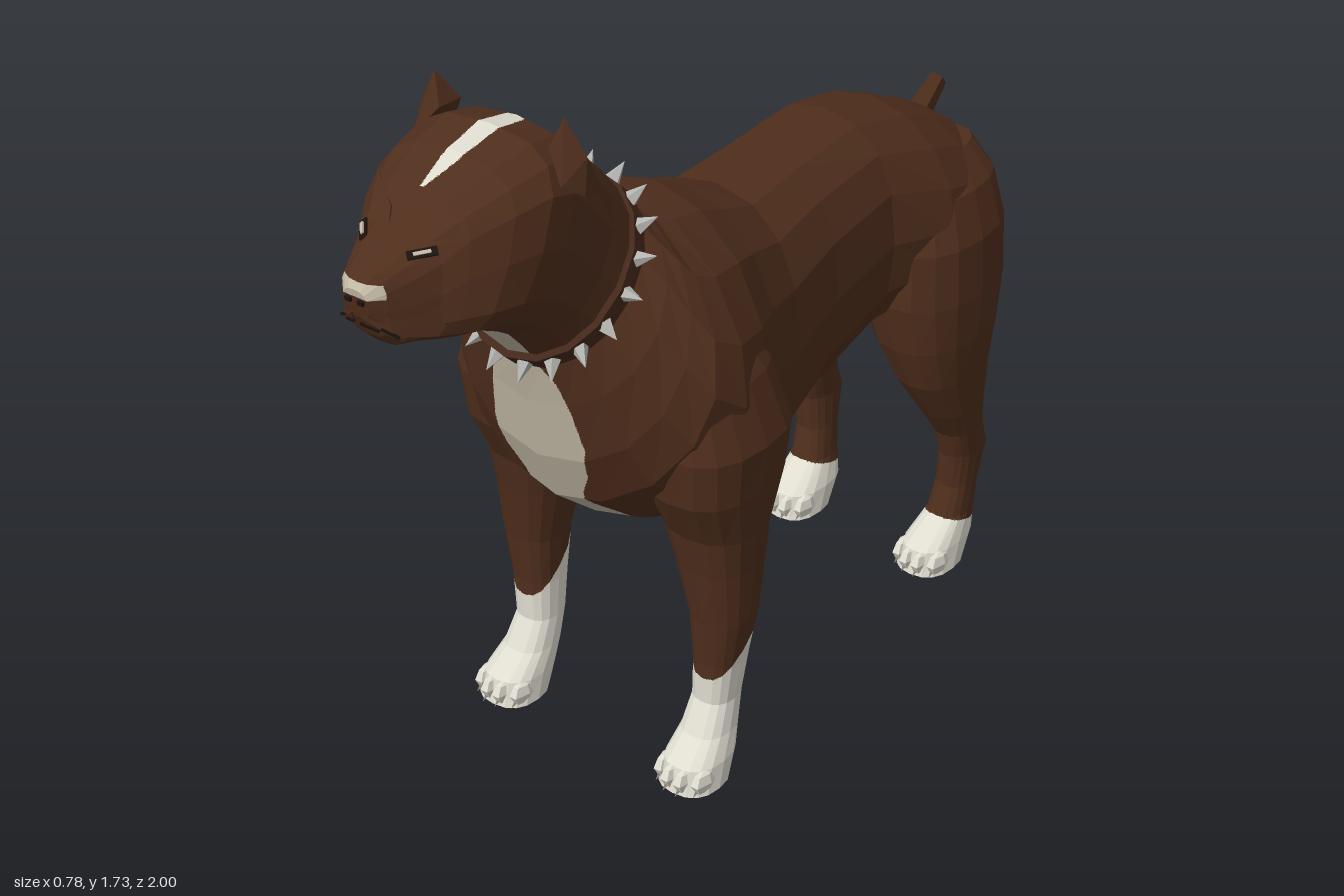
import * as THREE from 'three';
import { ConvexGeometry } from 'three/addons/geometries/ConvexGeometry.js';

const mat = (name, color) => Object.assign(new THREE.MeshStandardMaterial({ color }), { name });
const V = (x, y, z) => new THREE.Vector3(x, y, z);
const SIDES = 16;

// Point on a rounded ring that spans front/top point to back/bottom point, with half width w
function ringPoint(r, a) {
  const [tz, ty, bz, by, w, e = 0.85, cx = 0] = r;
  const pow = (v) => (Math.abs(v) < 1e-6 ? 0 : Math.sign(v) * Math.abs(v) ** e);
  const c = pow(Math.cos(a)) / 2;
  return V(cx + w * pow(Math.sin(a)), (ty + by) / 2 + (ty - by) * c, (tz + bz) / 2 + (tz - bz) * c);
}

// Faceted loft through rings; paint(p) gives a material index, facets are split along colour borders
function loft(name, rings, materials, paint = () => 0) {
  const buckets = materials.map(() => []);
  const mid = (a, b) => a.clone().lerp(b, 0.5);
  const emit = (a, b, c, depth = 0) => {
    const ab = mid(a, b), bc = mid(b, c), ca = mid(c, a);
    const ids = [a, b, c, ab, bc, ca].map(paint);
    const border = ids.some((i) => i !== ids[0]);
    if (materials.length > 1 && depth < 5 && (border || depth < 1)) {
      emit(a, ab, ca, depth + 1); emit(ab, b, bc, depth + 1);
      emit(ca, bc, c, depth + 1); emit(ab, bc, ca, depth + 1);
    } else {
      const m = paint(a.clone().add(b).add(c).divideScalar(3));
      for (const p of [a, b, c]) buckets[m].push(p.x, p.y, p.z);
    }
  };
  const pts = rings.map((r) => Array.from({ length: SIDES }, (_, j) => ringPoint(r, (j / SIDES) * Math.PI * 2)));
  const centre = (ring) => ring.reduce((s, p) => s.add(p), V(0, 0, 0)).divideScalar(SIDES);
  const first = pts[0], last = pts[pts.length - 1], c0 = centre(first), c1 = centre(last);
  for (let j = 0; j < SIDES; j++) {
    const k = (j + 1) % SIDES;
    emit(c0, first[j], first[k]);
    emit(c1, last[k], last[j]);
    for (let i = 0; i + 1 < pts.length; i++) {
      emit(pts[i][j], pts[i + 1][j], pts[i][k]);
      emit(pts[i][k], pts[i + 1][j], pts[i + 1][k]);
    }
  }
  const g = new THREE.BufferGeometry();
  let start = 0;
  buckets.forEach((b, i) => { g.addGroup(start, b.length / 3, i); start += b.length / 3; });
  g.setAttribute('position', new THREE.Float32BufferAttribute(buckets.flat(), 3));
  g.computeVertexNormals();
  const mesh = new THREE.Mesh(g, materials.length > 1 ? materials : materials[0]);
  mesh.name = name;
  return mesh;
}

// Linear lookup in [key, value] pairs
function lookup(table, k) {
  for (let i = 0; i + 1 < table.length; i++) {
    const [a, va] = table[i], [b, vb] = table[i + 1];
    if (k >= a && k <= b) return va + ((vb - va) * (k - a)) / (b - a);
  }
  return 0;
}

export function createModel() {
  const model = new THREE.Group();
  const coat = mat('brown coat', 0x4f2e1c), white = mat('white fur', 0xdedbcf), cream = mat('cream chest', 0xc2b9a5);
  const leather = mat('dark leather', 0x43271a), metal = mat('spike metal', 0xb4b4b0);
  const dark = mat('dark line', 0x1d120d), claw = mat('claw grey', 0x8b8578);

  const add = (name, geo, material) => {
    const g = geo.index ? geo.toNonIndexed() : geo;
    g.computeVertexNormals();
    const m = new THREE.Mesh(g, material);
    m.name = name;
    model.add(m);
    return m;
  };
  const hull = (name, pts, material) => add(name, new ConvexGeometry(pts.map((p) => V(...p))), material);

  // Torso, rump to neck: [topZ, topY, bottomZ, bottomY, half width, roundness]
  const torso = [
    [-0.93, 1.08, -0.925, 0.85, 0.15], [-0.9, 1.12, -0.89, 0.76, 0.22, 0.9], [-0.82, 1.165, -0.8, 0.72, 0.262, 1],
    [-0.7, 1.22, -0.65, 0.71, 0.262, 1], [-0.52, 1.26, -0.52, 0.69, 0.205], [-0.3, 1.25, -0.3, 0.63, 0.21],
    [-0.12, 1.24, -0.12, 0.555, 0.235], [0, 1.29, 0.02, 0.527, 0.272, 0.9], [0.09, 1.335, 0.14, 0.535, 0.325, 1],
    [0.18, 1.355, 0.3, 0.61, 0.362, 1.1], [0.22, 1.36, 0.43, 0.72, 0.345, 1.1], [0.235, 1.37, 0.485, 0.85, 0.295, 1],
    [0.25, 1.38, 0.515, 1.0, 0.242, 0.95], [0.265, 1.41, 0.545, 1.12, 0.178, 0.95],
  ];
  // Neck and head, collar to nose
  const head = [
    [0.265, 1.41, 0.545, 1.12, 0.172, 0.95], [0.34, 1.5, 0.6, 1.18, 0.168, 0.9], [0.43, 1.585, 0.65, 1.235, 0.178, 0.8],
    [0.52, 1.66, 0.71, 1.28, 0.198, 0.7], [0.6, 1.675, 0.77, 1.315, 0.202, 0.65], [0.7, 1.655, 0.83, 1.33, 0.183, 0.62],
    [0.8, 1.62, 0.87, 1.335, 0.143, 0.62], [0.855, 1.57, 0.9, 1.34, 0.112, 0.65], [0.92, 1.54, 0.94, 1.345, 0.083, 0.65],
    [0.975, 1.515, 0.965, 1.37, 0.058, 0.7], [1.0, 1.485, 0.99, 1.42, 0.032, 0.8],
  ];
  const chestWidth = [[0.5, 0.06], [0.54, 0.07], [0.6, 0.1], [0.65, 0.09], [0.7, 0.068], [0.76, 0.08],
    [0.82, 0.11], [0.9, 0.122], [1.0, 0.105], [1.07, 0.085], [1.11, 0.05]];
  const throatWidth = [[1.12, 0.045], [1.18, 0.058], [1.25, 0.072], [1.3, 0.052], [1.35, 0.04]];
  const blazeWidth = [[0.33, 0.01], [0.45, 0.02], [0.6, 0.026], [0.72, 0.02], [0.8, 0.004]];
  model.add(loft('torso', torso, [coat, cream], (p) =>
    (p.z > -0.03 && p.y < 1.11 && Math.abs(p.x) < lookup(chestWidth, p.y) ? 1 : 0)));
  const headMesh = loft('head and neck', head, [coat, cream, white], (p) => {
    const x = Math.abs(p.x);
    if (p.y < 1.35 && p.z < 0.8 && x < lookup(throatWidth, p.y)) return 1;
    if (p.y > 1.44 && x < lookup(blazeWidth, p.z)) return 2;
    return p.z > 0.97 && p.y > 1.468 && p.y < 1.497 ? 1 : 0;
  });
  model.add(headMesh);

  // Legs: [y, inner x, outer x, front z, back z]
  const frontLeg = [
    [1.12, 0.14, 0.285, 0.3, 0.12], [1.02, 0.12, 0.345, 0.36, 0.06],
    [0.88, 0.12, 0.39, 0.375, 0.03], [0.76, 0.12, 0.378, 0.36, 0.04], [0.64, 0.14, 0.357, 0.3, 0.08],
    [0.54, 0.165, 0.346, 0.28, 0.09], [0.4, 0.197, 0.335, 0.26, 0.11], [0.28, 0.205, 0.315, 0.25, 0.125],
    [0.18, 0.205, 0.305, 0.25, 0.14], [0.11, 0.2, 0.315, 0.29, 0.16], [0.06, 0.193, 0.33, 0.35, 0.18],
    [0, 0.19, 0.335, 0.365, 0.21],
  ];
  const hindLeg = [
    [1.1, 0.05, 0.19, -0.66, -0.9], [1.03, 0.02, 0.255, -0.6, -0.93], [0.92, 0.012, 0.292, -0.565, -0.94],
    [0.78, 0.015, 0.3, -0.56, -0.94], [0.66, 0.06, 0.295, -0.58, -0.915], [0.55, 0.11, 0.285, -0.62, -0.885],
    [0.44, 0.15, 0.275, -0.69, -0.87], [0.36, 0.165, 0.265, -0.745, -0.875], [0.29, 0.17, 0.26, -0.765, -0.905],
    [0.2, 0.165, 0.255, -0.77, -0.88], [0.12, 0.155, 0.255, -0.75, -0.87], [0.06, 0.135, 0.265, -0.665, -0.865],
    [0, 0.13, 0.27, -0.65, -0.82],
  ];
  const toe = new THREE.SphereGeometry(1, 6, 4);
  for (const s of [1, -1]) {
    for (const [name, rows, sock] of [
      ['frontLeg', frontLeg, (p) => (p.y < 0.3 + (0.2 - p.z) * 1.1 ? 1 : 0)],
      ['hindLeg', hindLeg, (p) => (p.y < 0.105 + (p.z + 0.8) * 0.3 ? 1 : 0)],
    ]) {
      const rings = rows.map(([y, xi, xo, zf, zb]) => [zf, y, zb, y, (xo - xi) / 2, 0.82, (s * (xi + xo)) / 2]);
      model.add(loft(name, rings, [coat, white], sock));
      // Toes and claws
      const [, xi, xo, zf] = rows[rows.length - 1];
      for (let i = 0; i < 4; i++) {
        const x = s * (xi + (xo - xi) * (0.14 + 0.24 * i)), z = zf - (i === 0 || i === 3 ? 0.05 : 0.03);
        const t = add('toe', toe.clone(), white);
        t.scale.set(0.019, 0.032, 0.045);
        t.position.set(x, 0.032, z);
        const c = add('claw', new THREE.ConeGeometry(0.007, 0.026, 4), claw);
        c.position.set(x, 0.013, z + 0.033);
        c.rotation.x = 2.1;
      }
    }

    // Cropped ear
    hull('ear', [[s * 0.135, 1.66, 0.53], [s * 0.2, 1.55, 0.5], [s * 0.213, 1.57, 0.57], [s * 0.14, 1.66, 0.59],
      [s * 0.19, 1.6, 0.615], [s * 0.212, 1.65, 0.56], [s * 0.165, 1.728, 0.572]], coat);
    // Heavy brow and hanging lip
    hull('brow', [[s * 0.02, 1.555, 0.875], [s * 0.04, 1.585, 0.845], [s * 0.125, 1.605, 0.785], [s * 0.14, 1.565, 0.8],
      [s * 0.08, 1.556, 0.87], [s * 0.06, 1.55, 0.8]], coat);
    hull('lip', [[s * 0.01, 1.43, 1.0], [s * 0.055, 1.44, 0.97], [s * 0.088, 1.43, 0.92], [s * 0.11, 1.37, 0.89],
      [s * 0.135, 1.43, 0.84], [s * 0.065, 1.385, 0.965], [s * 0.02, 1.4, 0.985], [s * 0.06, 1.4, 0.85]], coat);
  }

  // Face details laid on the head surface
  model.updateMatrixWorld(true);
  const faceParts = model.children.filter((m) => ['head and neck', 'brow', 'lip'].includes(m.name));
  const ray = new THREE.Raycaster();
  const plate = (name, x, y, w, h, roll, material, lift = 0.003) => {
    ray.set(V(x, y, 2), V(0, 0, -1));
    const hit = ray.intersectObjects(faceParts)[0];
    const m = add(name, new THREE.BoxGeometry(w, h, 0.006), material);
    m.position.copy(hit.point).addScaledVector(hit.face.normal, lift);
    m.lookAt(m.position.clone().add(hit.face.normal));
    m.rotateZ(roll);
  };
  for (const s of [1, -1]) {
    plate('eyeRim', s * 0.075, 1.538, 0.06, 0.018, s * 0.15, dark, 0.001);
    plate('eye', s * 0.075, 1.538, 0.035, 0.007, s * 0.15, cream, 0.005);
    plate('nostril', s * 0.016, 1.46, 0.014, 0.01, 0, dark);
    plate('mouthLine', s * 0.025, 1.405, 0.04, 0.005, -s * 0.35, dark, 0.001);
    plate('mouthLine', s * 0.06, 1.395, 0.04, 0.005, -s * 0.5, dark, 0.001);
  }

  // Stub tail
  const tail = add('tail', new THREE.CylinderGeometry(0.026, 0.045, 0.17, 6), coat);
  tail.scale.x = 0.75;
  tail.position.set(0, 1.1, -0.917);
  tail.rotation.x = -0.92;

  // Spiked collar around the base of the neck
  const collarRing = (o) => [0.257 + 0.72 * o, 1.419 + 0.69 * o, 0.555 + 0.72 * o, 1.111 + 0.69 * o, 0.186, 0.95];
  model.add(loft('collar', [collarRing(-0.012), collarRing(0.034)], [leather]));
  const band = collarRing(0.011), middle = V(0, (band[1] + band[3]) / 2, (band[0] + band[2]) / 2);
  for (let i = 0; i < 18; i++) {
    const p = ringPoint(band, ((i + 0.5) / 18) * Math.PI * 2);
    const out = p.clone().sub(middle).normalize();
    const spike = add('collarSpike', new THREE.ConeGeometry(0.019, 0.048, 5), metal);
    spike.position.copy(p).addScaledVector(out, 0.018);
    spike.quaternion.setFromUnitVectors(V(0, 1, 0), out);
  }
  return model;
}
